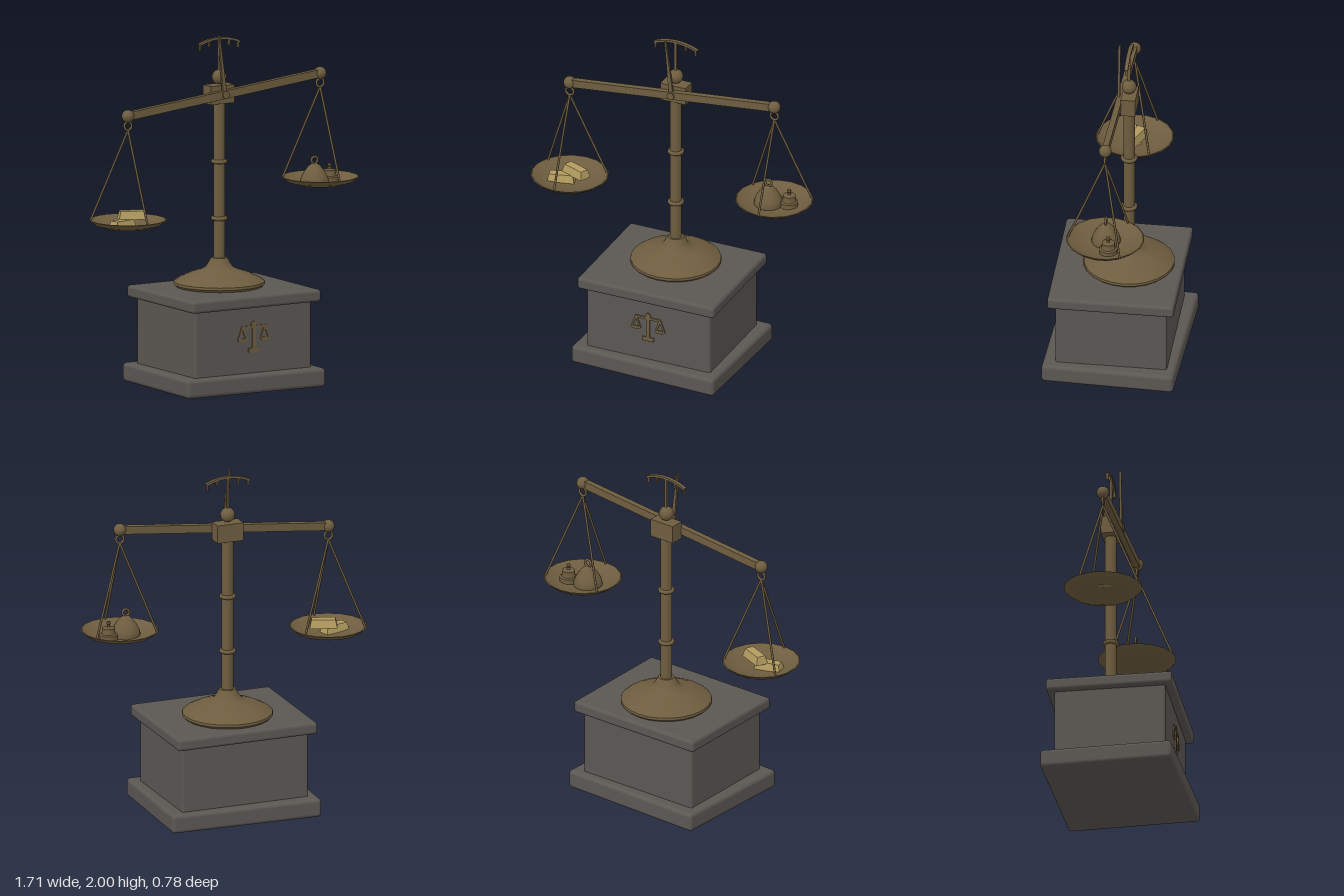
import * as THREE from 'three';
import { toCreasedNormals } from 'three/addons/utils/BufferGeometryUtils.js';
import { RoundedBoxGeometry } from 'three/addons/geometries/RoundedBoxGeometry.js';

const mat = (name, color) => {
  const m = new THREE.MeshStandardMaterial({ color });
  m.name = name;
  return m;
};

export function createModel() {
  const model = new THREE.Group();
  model.name = 'balanceScale';
  const bronze = mat('bronze', 0x6e5d3f);
  const stone = mat('stone', 0x5b5753);
  const gold = mat('gold', 0xb39c5f);

  const add = (parent, name, geo, material, x = 0, y = 0, z = 0) => {
    const mesh = new THREE.Mesh(geo, material);
    mesh.name = name;
    mesh.position.set(x, y, z);
    parent.add(mesh);
    return mesh;
  };
  const group = (parent, name, x = 0, y = 0, z = 0) => {
    const g = new THREE.Group();
    g.name = name;
    g.position.set(x, y, z);
    parent.add(g);
    return g;
  };
  const lathe = (pts, sides = 20) =>
    toCreasedNormals(new THREE.LatheGeometry(pts.map(p => new THREE.Vector2(...p)), sides), 0.6);
  const box = (w, h, d) => new THREE.BoxGeometry(w, h, d);
  const ball = r => new THREE.SphereGeometry(r, 16, 12);
  const ring = (R, r) => new THREE.TorusGeometry(R, r, 8, 20);
  const extrude = (shape, depth) =>
    new THREE.ExtrudeGeometry(shape, { depth, bevelEnabled: false, curveSegments: 12 });
  const polygon = pts => new THREE.Shape(pts.map(p => new THREE.Vector2(...p)));
  // Thin rod between two points
  const rod = (parent, name, a, b, r) => {
    const from = new THREE.Vector3(...a), dir = new THREE.Vector3(...b).sub(from);
    const m = add(parent, name, new THREE.CylinderGeometry(r, r, dir.length(), 8), bronze);
    m.position.copy(from).addScaledVector(dir, 0.5);
    m.quaternion.setFromUnitVectors(new THREE.Vector3(0, 1, 0), dir.normalize());
  };

  // Stone plinth, with the bottom slab turned a little
  const plinth = group(model, 'plinth');
  add(plinth, 'bottomSlab', new RoundedBoxGeometry(0.9, 0.108, 0.755, 3, 0.022), stone, 0, 0.054, 0)
    .rotation.y = -0.033;
  add(plinth, 'middleBlock', new RoundedBoxGeometry(0.77, 0.4, 0.634, 3, 0.014), stone, 0, 0.296, 0);
  add(plinth, 'topSlab', new RoundedBoxGeometry(0.852, 0.07, 0.72, 3, 0.018), stone, 0, 0.519, 0);

  // Scale relief on the plinth front
  const relief = group(plinth, 'scalesRelief', 0, 0, 0.316);
  const D = 0.008;
  add(relief, 'reliefPost', box(0.022, 0.15, D), bronze, 0, 0.318, D / 2);
  add(relief, 'reliefFoot', box(0.07, 0.024, D), bronze, 0, 0.239, D / 2);
  add(relief, 'reliefBeam', box(0.16, 0.014, D), bronze, 0, 0.372, D / 2);
  add(relief, 'reliefCap', new THREE.CylinderGeometry(0.017, 0.017, D, 16), bronze, 0, 0.387, D / 2)
    .rotation.x = Math.PI / 2;
  for (const s of [-1, 1]) {
    const pan = polygon([[-0.032, 0.302], [-0.02, 0.291], [0.02, 0.291], [0.032, 0.302], [0.007, 0.37], [-0.007, 0.37]]);
    pan.holes.push(new THREE.Path([[-0.02, 0.309], [0, 0.356], [0.02, 0.309]].map(p => new THREE.Vector2(...p))));
    add(relief, 'reliefPan', extrude(pan, D), bronze, s * 0.075, 0, 0);
  }

  // Foot, column and head
  const stand = group(model, 'stand', 0, 0, -0.052);
  add(stand, 'foot', lathe([[0, 0.553], [0.243, 0.553], [0.259, 0.568], [0.257, 0.582], [0.235, 0.598],
    [0.17, 0.628], [0.11, 0.648], [0.08, 0.662], [0.066, 0.682], [0.046, 0.718], [0, 0.718]], 24), bronze);
  add(stand, 'column', new THREE.CylinderGeometry(0.033, 0.033, 0.92, 16), bronze, 0, 1.15, 0);
  for (const y of [0.942, 1.267]) add(stand, 'collar', ring(0.036, 0.012), bronze, 0, y, 0).rotation.x = Math.PI / 2;
  add(stand, 'headBlock', box(0.158, 0.105, 0.084), bronze, 0, 1.653, -0.003);
  add(stand, 'finialBall', ball(0.042), bronze, 0, 1.75, 0);

  // Curved gauge with hanging tick marks
  const gauge = group(stand, 'gauge');
  const A = 0.435, R = 0.322, pivotY = 1.656;
  const arc = new THREE.Shape();
  arc.absarc(0, 0, R, Math.PI / 2 - A, Math.PI / 2 + A, false);
  arc.absarc(0, 0, R - 0.013, Math.PI / 2 + A, Math.PI / 2 - A, true);
  add(gauge, 'gaugeArc', extrude(arc, 0.022), bronze, 0, pivotY, -0.011);
  add(gauge, 'gaugePost', box(0.013, 0.2, 0.016), bronze, 0, 1.87, 0);
  for (const a of [-0.41, -0.21, 0.21, 0.41])
    add(gauge, 'tick', box(0.009, 0.032, 0.014), bronze,
      Math.sin(a) * (R - 0.01), pivotY + Math.cos(a) * (R - 0.01) - 0.018, 0);

  // Tilted beam with its needle and end balls
  const tilt = 0.108, arm = 0.641;
  const beam = group(model, 'beam', 0, pivotY, 0);
  beam.rotation.z = tilt;
  add(beam, 'beamBar', box(arm * 2, 0.046, 0.034), bronze);
  const pivot = add(beam, 'pivotPin', new THREE.CylinderGeometry(0.022, 0.022, 0.065, 16), bronze, 0, 0, -0.007);
  pivot.rotation.x = Math.PI / 2;
  add(beam, 'needle', extrude(polygon([[-0.013, 0], [0.013, 0], [0.004, 0.344], [-0.004, 0.344]]), 0.014), bronze);
  for (const s of [-1, 1]) add(beam, 'endBall', ball(0.036), bronze, s * arm, 0, 0);

  // Hanging pans; the local origin is the pan rim level
  const panGeo = lathe([[0, -0.052], [0.08, -0.05], [0.14, -0.042], [0.19, -0.026], [0.222, 0],
    [0.216, 0.002], [0.185, -0.018], [0.135, -0.034], [0.08, -0.041], [0, -0.043]], 18);
  const hang = {};
  for (const s of [-1, 1]) {
    const endY = pivotY + s * arm * Math.sin(tilt);
    const pan = group(model, s > 0 ? 'leftPan' : 'rightPan', s * arm * Math.cos(tilt), endY - 0.592, 0);
    hang[s] = pan;
    add(pan, 'dish', panGeo, bronze);
    add(pan, 'hookRing', ring(0.024, 0.007), bronze, 0, 0.536, 0);
    for (let i = 0; i < 3; i++) {
      const a = Math.PI / 2 + i * Math.PI * 2 / 3;
      rod(pan, 'hanger', [0, 0.512, 0], [Math.cos(a) * 0.212, -0.004, Math.sin(a) * 0.212], 0.0065);
    }
  }

  // Weights on the left pan
  const large = group(hang[1], 'largeWeight', -0.037, -0.044, 0);
  add(large, 'dome', lathe([[0, 0], [0.08, 0], [0.083, 0.012], [0.079, 0.035], [0.068, 0.06],
    [0.05, 0.088], [0.032, 0.108], [0.018, 0.12], [0, 0.124]]), bronze);
  add(large, 'loop', ring(0.02, 0.007), bronze, 0, 0.14, 0);
  const small = group(hang[1], 'smallWeight', 0.08, -0.042, -0.028);
  add(small, 'stackedBody', lathe([[0, 0], [0.051, 0], [0.051, 0.03], [0.04, 0.036], [0.037, 0.045],
    [0.037, 0.07], [0.01, 0.076], [0.008, 0.088], [0.013, 0.096], [0.011, 0.106], [0, 0.109]]), bronze);

  // Gold bars on the right pan
  const barGeo = box(0.158, 0.048, 0.074);
  const p = barGeo.attributes.position;
  for (let i = 0; i < p.count; i++)
    if (p.getY(i) > 0) p.setXYZ(i, p.getX(i) * 0.86, p.getY(i), p.getZ(i) * 0.68);
  barGeo.computeVertexNormals();
  const bars = [[-0.045, -0.021, 0.014, 0.26], [0.034, 0.024, -0.012, -0.38]];
  for (const [x, y, z, turn] of bars) add(hang[-1], 'goldBar', barGeo, gold, x, y, z).rotation.y = turn;

  return model;
}
